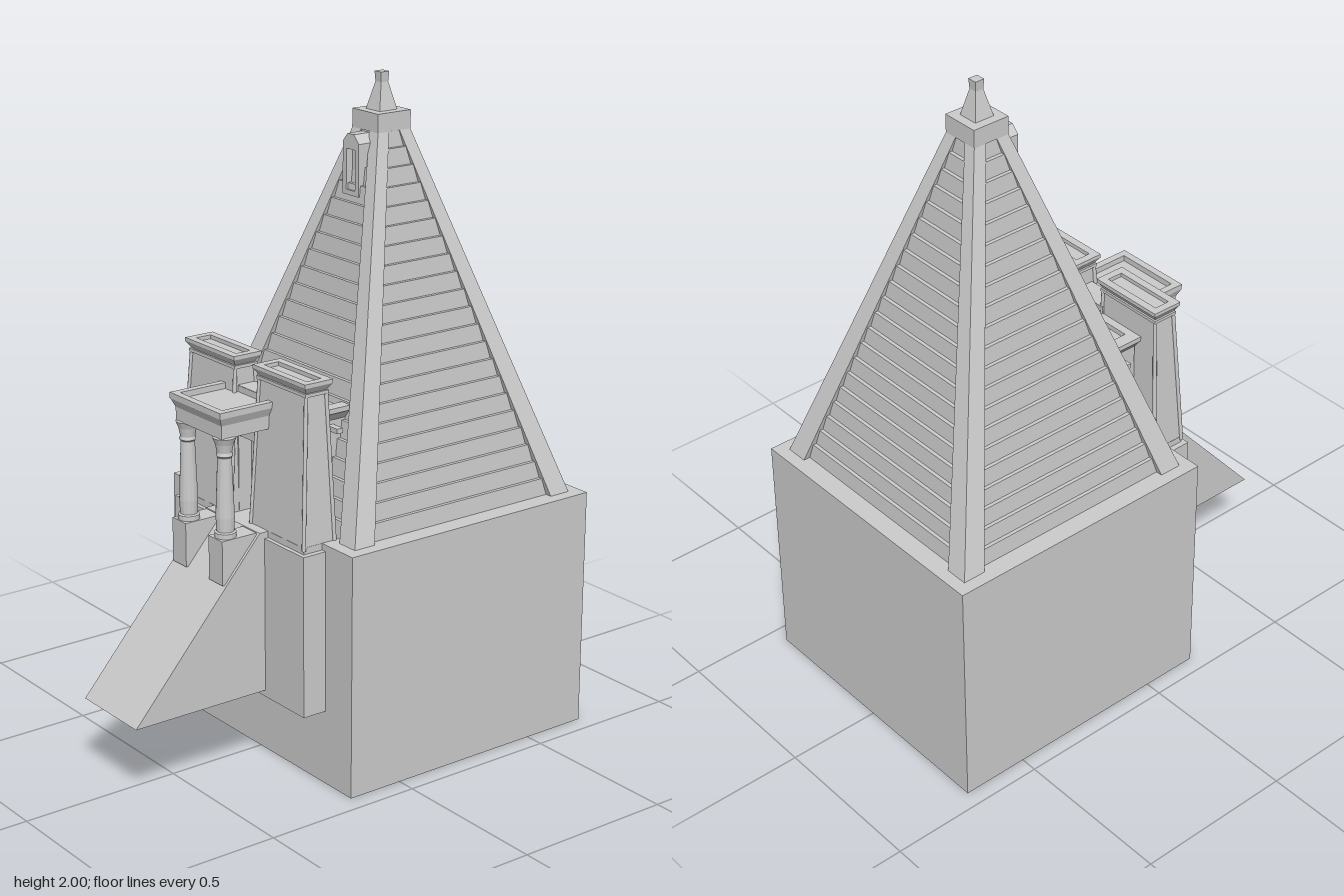
import * as THREE from 'three';

const material = new THREE.MeshStandardMaterial({ color: 0xcccccc, flatShading: true, side: THREE.DoubleSide });
const smooth = new THREE.MeshStandardMaterial({ color: 0xcccccc, side: THREE.DoubleSide });

function add(parent, name, geometry, mat = material) {
  const mesh = new THREE.Mesh(geometry, mat);
  mesh.name = name;
  parent.add(mesh);
  return mesh;
}

// Solid between two level rectangles, each given as [x0, x1, z0, z1]
function loft(parent, name, y0, y1, bottom, top = bottom) {
  const g = new THREE.BoxGeometry(1, 1, 1);
  const p = g.attributes.position;
  for (let i = 0; i < p.count; i++) {
    const r = p.getY(i) > 0 ? top : bottom;
    p.setXYZ(i, p.getX(i) > 0 ? r[1] : r[0], p.getY(i) > 0 ? y1 : y0, p.getZ(i) > 0 ? r[3] : r[2]);
  }
  g.computeVertexNormals();
  return add(parent, name, g);
}

const grow = ([x0, x1, z0, z1], d) => [x0 - d, x1 + d, z0 - d, z1 + d];
const square = (h, z) => [-h, h, z - h, z + h];

function outline(Type, [x0, x1, y0, y1]) {
  const s = new Type();
  s.moveTo(x0, y0).lineTo(x1, y0).lineTo(x1, y1).lineTo(x0, y1).closePath();
  return s;
}

// Raised rim around a sunken roof
function rim(parent, name, y0, y1, rect, width) {
  const [x0, x1, z0, z1] = rect;
  const shape = outline(THREE.Shape, [x0, x1, -z1, -z0]);
  shape.holes.push(outline(THREE.Path, [x0 + width, x1 - width, -z1 + width, -z0 - width]));
  const g = new THREE.ExtrudeGeometry(shape, { depth: y1 - y0, bevelEnabled: false });
  g.rotateX(-Math.PI / 2).translate(0, y0, 0);
  return add(parent, name, g);
}

export function createModel() {
  const model = new THREE.Group();
  model.name = 'pyramidTemple';
  const CZ = -0.265;
  const Y0 = 0.745, Y1 = 1.84;

  // Hollow base, open underneath
  const base = new THREE.Group();
  base.name = 'base';
  model.add(base);
  const h = 0.445;
  for (let i = 0; i < 4; i++) {
    const wall = add(base, 'baseWall', new THREE.PlaneGeometry(2 * h, Y0).translate(0, Y0 / 2, h));
    wall.position.z = CZ;
    wall.rotation.y = i * Math.PI / 2;
  }
  add(base, 'baseTop', new THREE.PlaneGeometry(2 * h, 2 * h).rotateX(-Math.PI / 2).translate(0, Y0, CZ));

  // Front bastion and ramp
  loft(model, 'bastion', 0.23, 0.725, [-0.322, 0.322, -0.6, 0.258]);
  loft(model, 'bastionTop', 0.725, Y0, [-0.305, 0.305, 0.1, 0.245]);
  const ramp = new THREE.Shape();
  ramp.moveTo(-0.15, 0.25).lineTo(-0.71, 0.25).lineTo(-0.275, Y0).lineTo(-0.15, Y0).closePath();
  add(model, 'ramp', new THREE.ExtrudeGeometry(ramp, { depth: 0.27, bevelEnabled: false })
    .rotateY(Math.PI / 2).translate(-0.135, 0, 0));

  // Stepped pyramid
  const pyramid = new THREE.Group();
  pyramid.name = 'pyramid';
  model.add(pyramid);
  const steps = 21, rise = (Y1 - Y0) / steps;
  for (let i = 0; i < steps; i++) {
    const half = 0.385 - (0.385 - 0.045) * i / steps;
    loft(pyramid, 'step', Y0 + i * rise, Y0 + (i + 1) * rise, square(half, CZ), square(half - 0.005, CZ));
  }

  // Leaning corner ribs
  for (const sx of [-1, 1]) for (const sz of [-1, 1]) {
    const corner = (a, b) => [
      Math.min(sx * a, sx * b), Math.max(sx * a, sx * b),
      CZ + Math.min(sz * a, sz * b), CZ + Math.max(sz * a, sz * b)];
    loft(pyramid, 'cornerRib', Y0, Y1, corner(0.335, 0.406), corner(0.018, 0.058));
  }

  // Capstone and finial
  loft(pyramid, 'capstone', 1.835, 1.89, square(0.06, CZ));
  loft(pyramid, 'spire', 1.89, 1.97, square(0.032, CZ), square(0.013, CZ));
  loft(pyramid, 'finial', 1.97, 2.0, square(0.013, CZ), square(0.015, CZ));

  // Gabled niche high on the front slope
  const niche = new THREE.Shape();
  niche.moveTo(-0.037, 1.65).lineTo(0.037, 1.65).lineTo(0.037, 1.805).lineTo(0.015, 1.83)
    .lineTo(-0.015, 1.83).lineTo(-0.037, 1.805).closePath();
  niche.holes.push(outline(THREE.Path, [-0.02, 0.02, 1.665, 1.785]));
  add(model, 'nicheFrame', new THREE.ExtrudeGeometry(niche, { depth: 0.09, bevelEnabled: false }).translate(0, 0, -0.243));
  loft(model, 'nicheBack', 1.66, 1.79, [-0.025, 0.025, -0.24, -0.175]);

  // Twin gate towers with corner rolls and flared cornices
  for (const s of [-1, 1]) {
    const tower = new THREE.Group();
    tower.name = s > 0 ? 'leftTower' : 'rightTower';
    model.add(tower);
    const span = (a, b, z0, z1) => s > 0 ? [a, b, z0, z1] : [-b, -a, z0, z1];
    const foot = span(0.05, 0.305, 0.135, 0.245), head = span(0.06, 0.28, 0.148, 0.218);
    loft(tower, 'towerBody', 0.73, 1.185, foot, head);
    for (const i of [0, 1]) for (const j of [2, 3]) {
      const path = new THREE.LineCurve3(new THREE.Vector3(foot[i], 0.735, foot[j]), new THREE.Vector3(head[i], 1.185, head[j]));
      add(tower, 'cornerRoll', new THREE.TubeGeometry(path, 1, 0.006, 8), smooth);
    }
    loft(tower, 'towerMoulding', 1.18, 1.19, grow(head, 0.006));
    loft(tower, 'towerCornice', 1.19, 1.21, head, grow(head, 0.013));
    rim(tower, 'towerRim', 1.21, 1.222, grow(head, 0.014), 0.024);

    // Porch column on its plinth
    const x = s * 0.092, z = 0.365;
    loft(model, 'columnPlinth', 0.61, Y0, [x - 0.034, x + 0.034, 0.28, 0.4]);
    const profile = [[0, 0], [0.032, 0], [0.032, 0.015], [0.026, 0.018], [0.028, 0.06], [0.021, 0.24],
      [0.025, 0.245], [0.022, 0.255], [0.027, 0.28], [0.035, 0.3], [0, 0.305]].map(p => new THREE.Vector2(...p));
    add(model, 'porchColumn', new THREE.LatheGeometry(profile, 16), material).position.set(x, Y0, z);

    // Door jamb and chamber water spout
    loft(model, 'doorJamb', Y0, 1.06, span(0.05, 0.085, 0.14, 0.215));
    loft(model, 'waterSpout', 1.037, 1.052, span(0.18, 0.25, 0.065, 0.085));
  }

  // Doorway between the towers
  loft(model, 'door', Y0, 0.98, [-0.055, 0.055, 0.13, 0.17]);
  loft(model, 'doorLintel', 0.98, 1.09, [-0.07, 0.07, 0.14, 0.215]);
  loft(model, 'doorCornice', 1.09, 1.13, [-0.065, 0.065, 0.145, 0.2], [-0.065, 0.065, 0.14, 0.21]);

  // Porch canopy
  const beam = [-0.114, 0.114, 0.2, 0.39];
  loft(model, 'canopyBeam', 1.045, 1.085, beam);
  loft(model, 'canopyCornice', 1.085, 1.11, beam, grow(beam, 0.011));
  rim(model, 'canopyRim', 1.11, 1.128, grow(beam, 0.012), 0.022);

  // Chamber behind the gate
  const chamber = [-0.205, 0.205, -0.1, 0.14];
  loft(model, 'chamber', Y0, 1.065, chamber);
  loft(model, 'chamberCornice', 1.065, 1.09, chamber, grow(chamber, 0.018));
  rim(model, 'chamberRim', 1.09, 1.105, grow(chamber, 0.02), 0.04);

  model.position.x = -0.003;
  return model;
}
